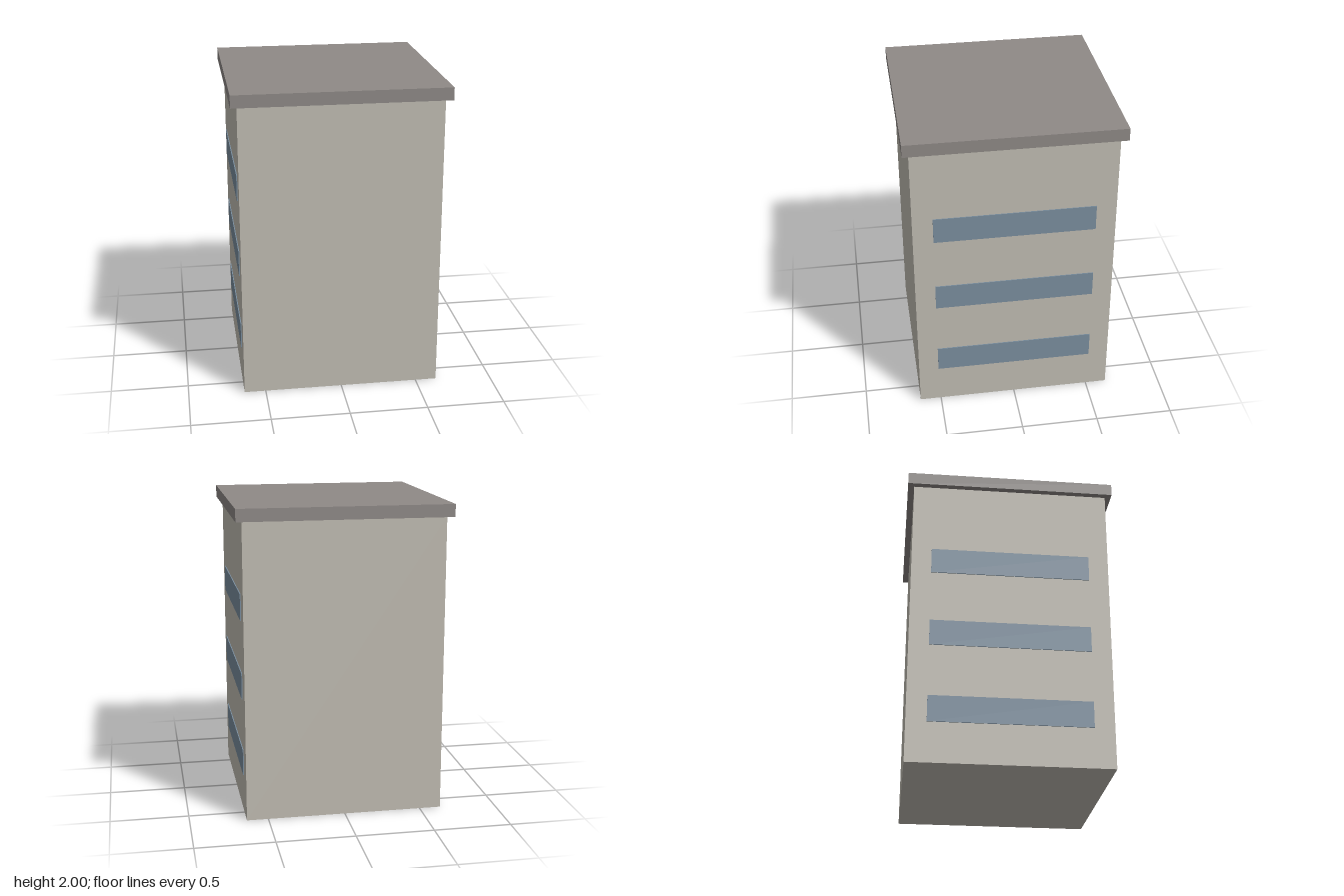
import * as THREE from 'three';

export function createModel() {
  const building = new THREE.Group();
  building.name = 'building';

  const wall = new THREE.MeshStandardMaterial({ color: 0xc2beb4 });
  const slate = new THREE.MeshStandardMaterial({ color: 0x8f8a87 });
  const glass = new THREE.MeshStandardMaterial({ color: 0x7b8fa0 });

  const addBox = (name, material, [w, h, d], [x, y, z]) => {
    const mesh = new THREE.Mesh(new THREE.BoxGeometry(w, h, d), material);
    mesh.name = name;
    mesh.position.set(x, y, z);
    building.add(mesh);
  };

  // Main block and overhanging flat roof
  addBox('walls', wall, [1.276, 1.92, 1.276], [0, 0.96, 0]);
  addBox('roofSlab', slate, [1.356, 0.08, 1.356], [0, 1.96, 0]);

  // Ribbon windows, one per storey on both sides, standing slightly proud
  for (const [side, sign] of [['left', 1], ['right', -1]]) {
    for (let floor = 0; floor < 3; floor++) {
      addBox(`${side}Window${floor + 1}`, glass, [0.02, 0.17, 1.02],
        [sign * 0.634, 0.345 + floor * 0.51, 0]);
    }
  }

  return building;
}
